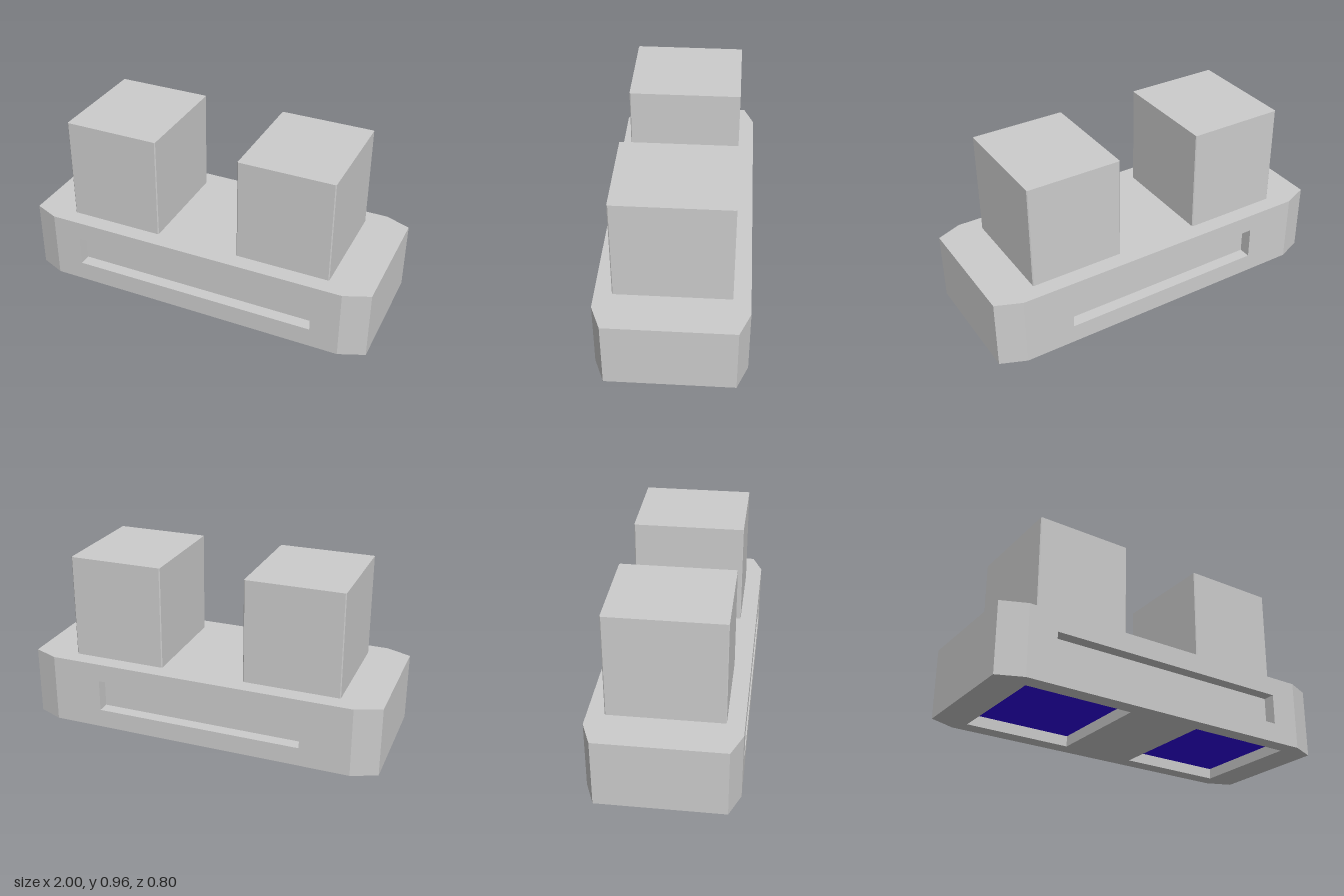
import * as THREE from 'three';

const grey = new THREE.MeshStandardMaterial({ color: 0xcccccc, flatShading: true });
const greyInside = new THREE.MeshStandardMaterial({ color: 0xcccccc, flatShading: true, side: THREE.BackSide });
const blue = new THREE.MeshStandardMaterial({ color: 0x3000e8 });

const HEIGHT = 0.387;

function mesh(name, geometry, material = grey) {
  const m = new THREE.Mesh(geometry, material);
  m.name = name;
  return m;
}

// Rectangle with its four corners cut off
function chamferedCorners(hx, hy, cx, cy) {
  return [
    [-hx + cx, hy], [hx - cx, hy], [hx, hy - cy], [hx, -hy + cy],
    [hx - cx, -hy], [-hx + cx, -hy], [-hx, -hy + cy], [-hx, hy - cy],
  ].map(([x, y]) => new THREE.Vector2(x, y));
}

function rectangle(x, y, w, h) {
  return [[-1, -1], [1, -1], [1, 1], [-1, 1]].map(([sx, sy]) => new THREE.Vector2(x + sx * w / 2, y + sy * h / 2));
}

// Flat panel facing +z with rectangular pockets sunk into it
function recessedPanel(name, outline, pockets, depth, floorMaterial) {
  const group = new THREE.Group();
  group.name = name;
  const shape = new THREE.Shape(outline);
  for (const { x, y, w, h } of pockets) {
    shape.holes.push(new THREE.Path(rectangle(x, y, w, h)));
    // Pocket walls: the four sides of a box seen from inside
    const box = new THREE.BoxGeometry(w, h, depth);
    box.setIndex(Array.from(box.index.array).slice(0, 24));
    box.clearGroups();
    const walls = mesh(name + 'PocketWalls', box, greyInside);
    walls.position.set(x, y, -depth / 2);
    const floor = mesh(name + 'PocketFloor', new THREE.PlaneGeometry(w, h), floorMaterial);
    floor.position.set(x, y, -depth);
    group.add(walls, floor);
  }
  group.add(mesh(name + 'Surface', new THREE.ShapeGeometry(shape)));
  return group;
}

export function createModel() {
  const model = new THREE.Group();
  model.name = 'block';
  const base = new THREE.Group();
  base.name = 'base';
  model.add(base);
  const corners = chamferedCorners(1, 0.4, 0.14, 0.058);

  // Side walls around the base; the long front and back walls carry a slot
  const slots = {
    0: { name: 'frontWall', x: 0, y: 0.195 - HEIGHT / 2, w: 1.4, h: 0.17 },
    4: { name: 'backWall', x: 0, y: 0.195 - HEIGHT / 2, w: 1.165, h: 0.18 },
  };
  corners.forEach((a, i) => {
    const b = corners[(i + 1) % corners.length];
    const dx = b.x - a.x, dz = b.y - a.y;
    const slot = slots[i];
    const wall = recessedPanel(slot ? slot.name : 'sideWall',
      rectangle(0, 0, Math.hypot(dx, dz), HEIGHT), slot ? [slot] : [], 0.068, grey);
    wall.position.set((a.x + b.x) / 2, HEIGHT / 2, (a.y + b.y) / 2);
    wall.rotation.y = Math.atan2(-dz, dx);
    base.add(wall);
  });

  // Top deck
  const top = mesh('topDeck', new THREE.ShapeGeometry(new THREE.Shape(corners)));
  top.rotation.x = -Math.PI / 2;
  top.position.y = HEIGHT;
  base.add(top);

  // Underside with two blue-floored pockets
  const pockets = [-1, 1].map((s) => ({ x: s * 0.513, y: 0, w: 0.605, h: 0.625 }));
  const underside = recessedPanel('underside', corners, pockets, 0.06, blue);
  underside.rotation.x = Math.PI / 2;
  base.add(underside);

  // Two square studs with finely cut corners
  for (const [name, x0, x1] of [['rightStud', -0.77, -0.235], ['leftStud', 0.235, 0.76]]) {
    const outline = new THREE.Shape(chamferedCorners((x1 - x0) / 2, 0.308, 0.005, 0.005));
    const stud = mesh(name, new THREE.ExtrudeGeometry(outline, { depth: 0.962 - HEIGHT, bevelEnabled: false }));
    stud.rotation.x = -Math.PI / 2;
    stud.position.set((x0 + x1) / 2, HEIGHT, 0);
    model.add(stud);
  }
  return model;
}
